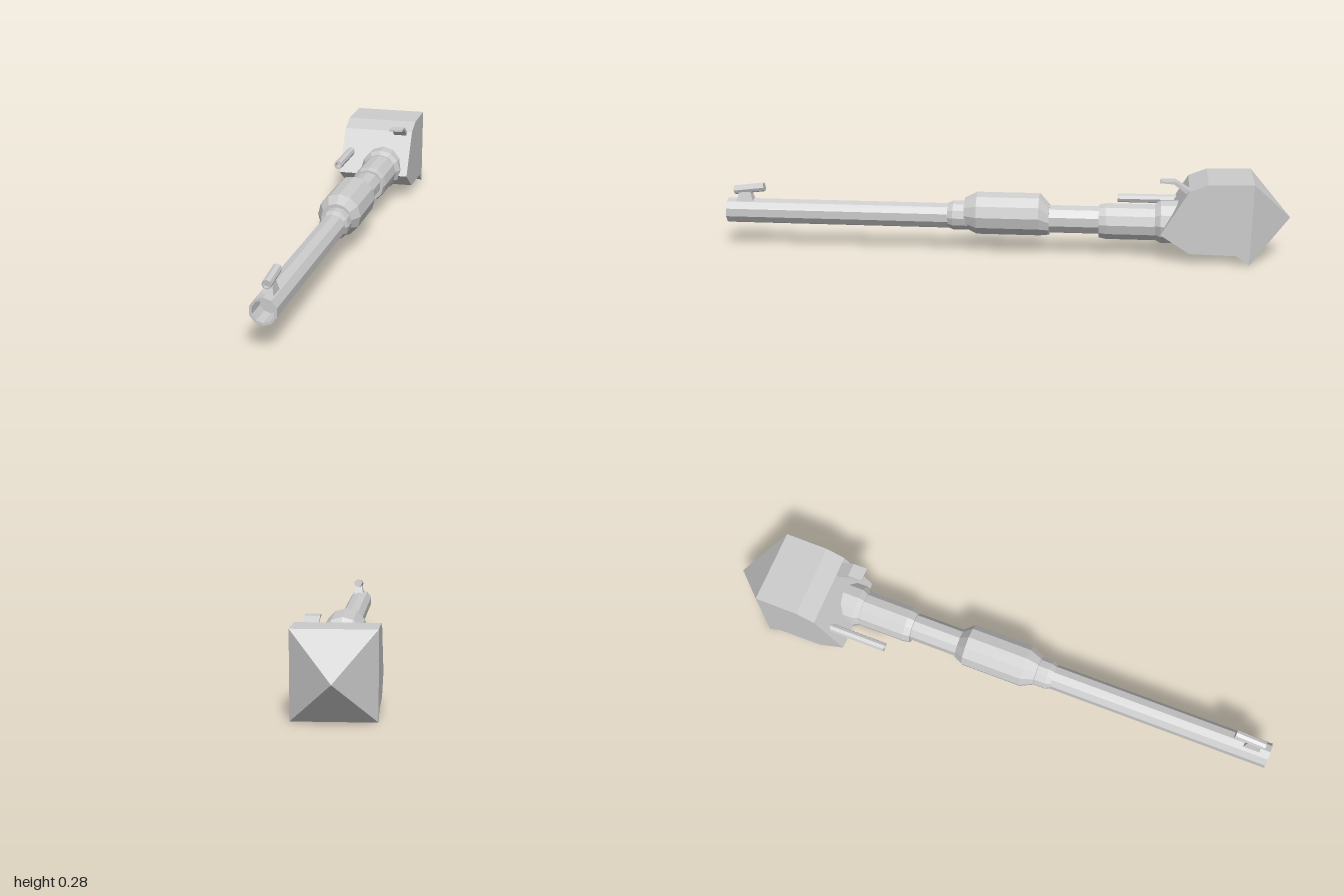
import * as THREE from 'three';

const material = new THREE.MeshStandardMaterial({ color: 0xcccccc, flatShading: true });
const thin = new THREE.MeshStandardMaterial({ color: 0xcccccc, flatShading: true, side: THREE.DoubleSide });
const AXIS_X = 0.032;

export function createModel() {
  const group = new THREE.Group();

  function add(name, geometry, x = 0, y = 0, z = 0, mat = material) {
    const mesh = new THREE.Mesh(geometry, mat);
    mesh.name = name;
    mesh.position.set(x, y, z);
    group.add(mesh);
    return mesh;
  }

  // Turned part along z; profile is [radius, z], running from back to front
  function turned(profile, sides) {
    const points = profile.map(([r, z]) => new THREE.Vector2(r, z));
    return new THREE.LatheGeometry(points, sides).rotateX(Math.PI / 2);
  }

  // Side profile of a plate or block in [z, y], extruded across x
  function sideProfile(points, x0, x1) {
    const shape = new THREE.Shape(points.map(([z, y]) => new THREE.Vector2(z, y)));
    return new THREE.ExtrudeGeometry(shape, { depth: x1 - x0, bevelEnabled: false })
      .rotateY(-Math.PI / 2).translate(x1, 0, 0);
  }

  // Barrel with a recessed bore and a collar in front of the evacuator
  add('barrel', turned([[0.045, 0.1], [0.045, 1], [0.036, 1], [0.036, 0.92], [0, 0.92]], 10), AXIS_X, 0.124);
  add('barrelCollar', turned([[0.053, 0.1], [0.053, 0.18], [0.045, 0.2]], 12), AXIS_X, 0.126);

  // Bore evacuator: its rear ring drops so that the underside stays level
  const evacuator = turned([[0, -0.16], [0.055, -0.16], [0.077, -0.125], [0.077, 0.095], [0.055, 0.14], [0, 0.14]], 12);
  const pos = evacuator.attributes.position;
  for (let i = 0; i < pos.count; i++) {
    if (pos.getZ(i) < -0.14) pos.setY(i, pos.getY(i) - 0.018);
  }
  add('boreEvacuator', evacuator, 0.03, 0.136);

  // Stepped rear barrel and its sleeve
  add('rearBarrel', turned([
    [0.05, -0.34], [0.05, -0.1],
  ], 10), 0.03, 0.121);
  add('rearSleeve', turned([
    [0.065, -0.6], [0.065, -0.36], [0.06, -0.335], [0, -0.335],
  ], 12), 0.03, 0.118);
  add('barrelRoot', turned([
    [0, -0.66], [0.06, -0.65], [0.077, -0.61], [0.077, -0.55], [0.065, -0.53], [0, -0.53],
  ], 12), 0.03, 0.121);

  // Angular gun shield
  const left = 0.134, right = -0.134;
  add('gunShield', sideProfile([
    [-0.55, 0.099], [-0.645, 0.254], [-0.71, 0.28], [-0.865, 0.283],
    [-0.855, 0.0], [-0.81, 0.032], [-0.65, 0.035],
  ], right, left));

  // Four-sided back of the shield
  const corners = [[right, 0.283, -0.865], [right, 0, -0.855], [left, 0, -0.855], [left, 0.283, -0.865]];
  const triangles = [];
  corners.forEach((corner, i) => triangles.push(...corners[(i + 1) % 4], ...corner, -0.003, 0.14, -1));
  const back = new THREE.BufferGeometry();
  back.setAttribute('position', new THREE.Float32BufferAttribute(triangles, 3));
  back.computeVertexNormals();
  add('shieldBack', back);

  // Bent plate hooked over the sight opening
  add('sightHood', sideProfile([
    [-0.66, 0.235], [-0.645, 0.235], [-0.592, 0.275], [-0.545, 0.278],
    [-0.545, 0.284], [-0.597, 0.284], [-0.66, 0.245],
  ], 0.064, 0.114), 0, 0, 0, thin);

  // Small secondary barrel and round port
  add('secondaryBarrel', turned([
    [0.016, -0.66], [0.016, -0.395], [0.01, -0.395], [0.01, -0.43], [0, -0.43],
  ], 8), -0.101, 0.172);
  add('roundPort', turned([[0.022, -0.72], [0.022, -0.605], [0, -0.605]], 8), -0.108, 0.054);

  // Muzzle reference: tapered foot and tilted tube
  const foot = new THREE.CylinderGeometry(0.011, 0.023, 0.05, 4)
    .rotateY(Math.PI / 4).scale(1.2, 1, 2);
  add('muzzleSightFoot', foot, 0.036, 0.182, 0.935);
  const tube = add('muzzleSightTube', turned([
    [0, -0.055], [0.016, -0.055], [0.016, 0.055], [0.012, 0.055], [0.012, 0.045], [0, 0.045],
  ], 8), 0.036, 0.206, 0.92);
  tube.rotation.x = 0.12;

  return group;
}
